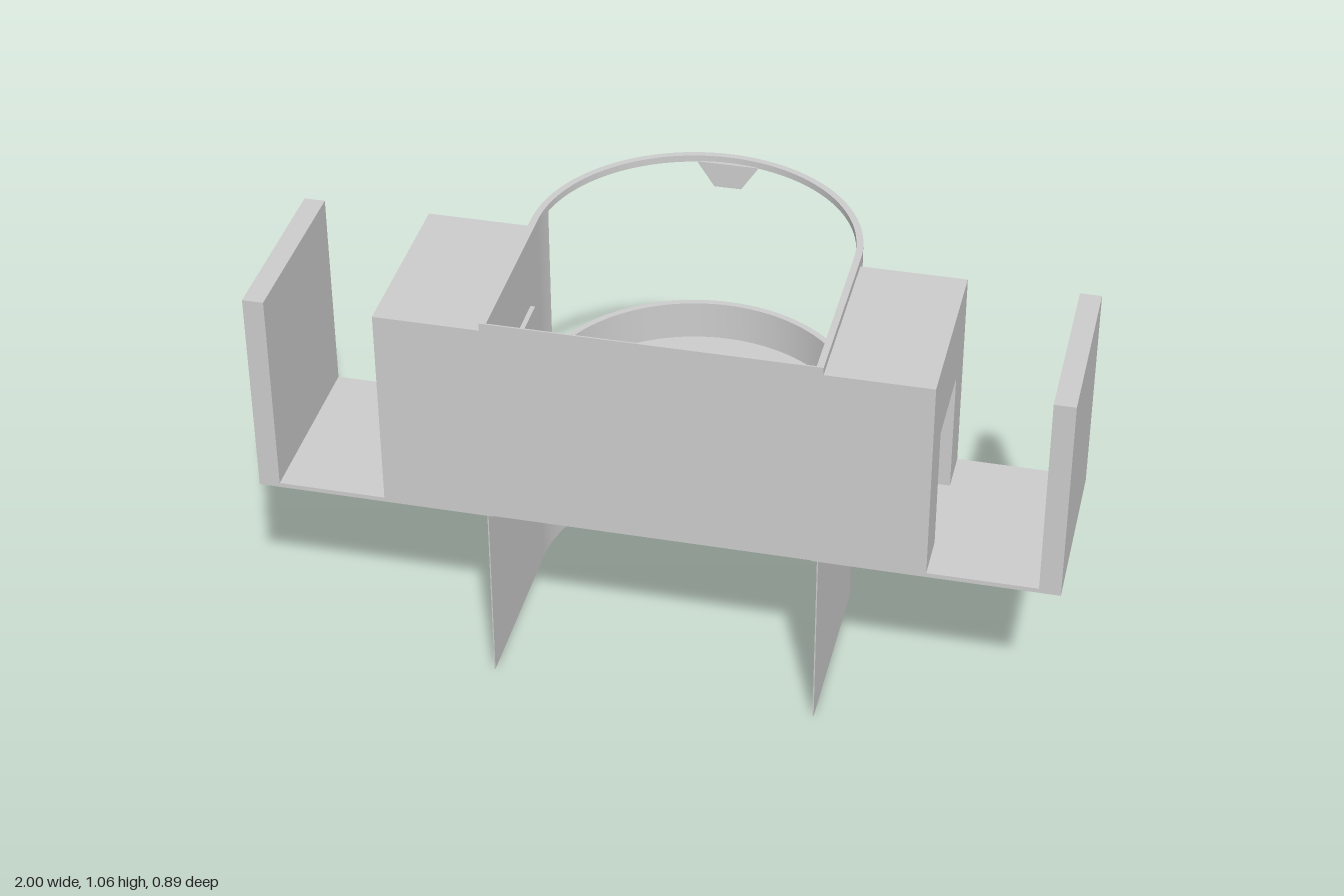
import * as THREE from 'three';
import { toCreasedNormals } from 'three/addons/utils/BufferGeometryUtils.js';

const R = 0.413, T = 0.017;           // shell radius and wall thickness
const FRONT = 0.443, BACK = -0.03;    // z range of the straight sides
const material = new THREE.MeshStandardMaterial({ color: 0xcccccc, side: THREE.DoubleSide });

function add(parent, name, geometry) {
  const mesh = new THREE.Mesh(geometry, material);
  mesh.name = name;
  parent.add(mesh);
}

function box(parent, name, x0, x1, y0, y1, z0, z1) {
  const g = new THREE.BoxGeometry(x1 - x0, y1 - y0, z1 - z0);
  add(parent, name, g.translate((x0 + x1) / 2, (y0 + y1) / 2, (z0 + z1) / 2));
}

// Plan shape (x, -z) raised from y0 to y1
function raise(parent, name, shape, y0, y1) {
  const g = new THREE.ExtrudeGeometry(shape, { depth: y1 - y0, bevelEnabled: false, curveSegments: 48 });
  g.rotateX(-Math.PI / 2).translate(0, y0, 0);
  add(parent, name, toCreasedNormals(g, 0.5));
}

// Side shape (z, y) extruded from x0 to x1
function across(parent, name, points, x0, x1) {
  const shape = new THREE.Shape(points.map(p => new THREE.Vector2(...p)));
  const g = new THREE.ExtrudeGeometry(shape, { depth: x1 - x0, bevelEnabled: false });
  add(parent, name, g.rotateY(-Math.PI / 2).translate(x1, 0, 0));
}

// U-shaped plan: two straight sides and a half-round back; thickness 0 fills it
function uShape(thickness) {
  const s = new THREE.Shape();
  s.moveTo(R, -FRONT);
  s.lineTo(R, -BACK);
  s.absarc(0, -BACK, R, 0, Math.PI, false);
  s.lineTo(-R, -FRONT);
  if (thickness) {
    const r = R - thickness;
    s.lineTo(-r, -FRONT);
    s.lineTo(-r, -BACK);
    s.absarc(0, -BACK, r, Math.PI, 0, true);
    s.lineTo(r, -FRONT);
  }
  return s;
}

// Arch outline round a doorway whose top corners are cut by c
function arch(z0, z1, y0, y1, a, b, top, c) {
  return [[z0, y0], [a, y0], [a, top - c], [a + c, top], [b - c, top], [b, top - c],
    [b, y0], [z1, y0], [z1, y1], [z0, y1]];
}

// One side wing, built on +x
function wing() {
  const g = new THREE.Group();
  box(g, 'wingFloor', R - T, 1, 0.488, 0.5, BACK, FRONT);
  box(g, 'wingOuterWall', 0.947, 1, 0.5, 1.036, BACK, FRONT);
  across(g, 'tunnelBlock', arch(BACK, FRONT, 0.5, 1.036, 0.085, 0.32, 0.825, 0.001), R, 0.676);
  across(g, 'sideWall', arch(BACK, FRONT, 0.5, 1.038, 0.085, 0.32, 0.825, 0.04), R - T, R);
  across(g, 'doorFrame', arch(0.06, 0.35, 0.5, 0.86, 0.085, 0.32, 0.825, 0.04), 0.384, R - T);

  // Curved return of the side wall
  const s = new THREE.Shape();
  const end = Math.asin(0.077 / R);
  s.absarc(0, -BACK, R, 0, end, false);
  s.absarc(0, -BACK, R - T, end, 0, true);
  raise(g, 'curvedWallReturn', s, 0.5, 1.038);
  return g;
}

export function createModel() {
  const model = new THREE.Group();

  // Thin skirt below the floor, thicker lip at the back above it
  raise(model, 'lowerSkirt', uShape(0.003), 0, 0.49);
  raise(model, 'floor', uShape(0), 0.49, 0.5);
  const lip = new THREE.Shape();
  lip.absarc(0, -BACK, R, 0, Math.PI, false);
  lip.absarc(0, -BACK, R - T, Math.PI, 0, true);
  raise(model, 'backLip', lip, 0.5, 0.605);

  // Front panel and top rim
  box(model, 'frontPanel', -R, R, 0.49, 1.056, FRONT - 0.004, FRONT);
  raise(model, 'topRim', uShape(T), 1.038, 1.056);

  // Tapered catch hanging from the rim at the back
  const catchShape = new THREE.Shape();
  catchShape.moveTo(-0.08, 1.04);
  catchShape.lineTo(-0.035, 0.972);
  catchShape.lineTo(0.035, 0.972);
  catchShape.lineTo(0.08, 1.04);
  const catchGeo = new THREE.ExtrudeGeometry(catchShape, { depth: 0.023, bevelEnabled: false });
  add(model, 'rimCatch', catchGeo.translate(0, 0, -0.439));

  // Wings, turned inside out correctly by mirroring the group
  for (const side of [1, -1]) {
    const w = wing();
    w.name = side > 0 ? 'leftWing' : 'rightWing';
    w.scale.x = side;
    model.add(w);
  }
  return model;
}
